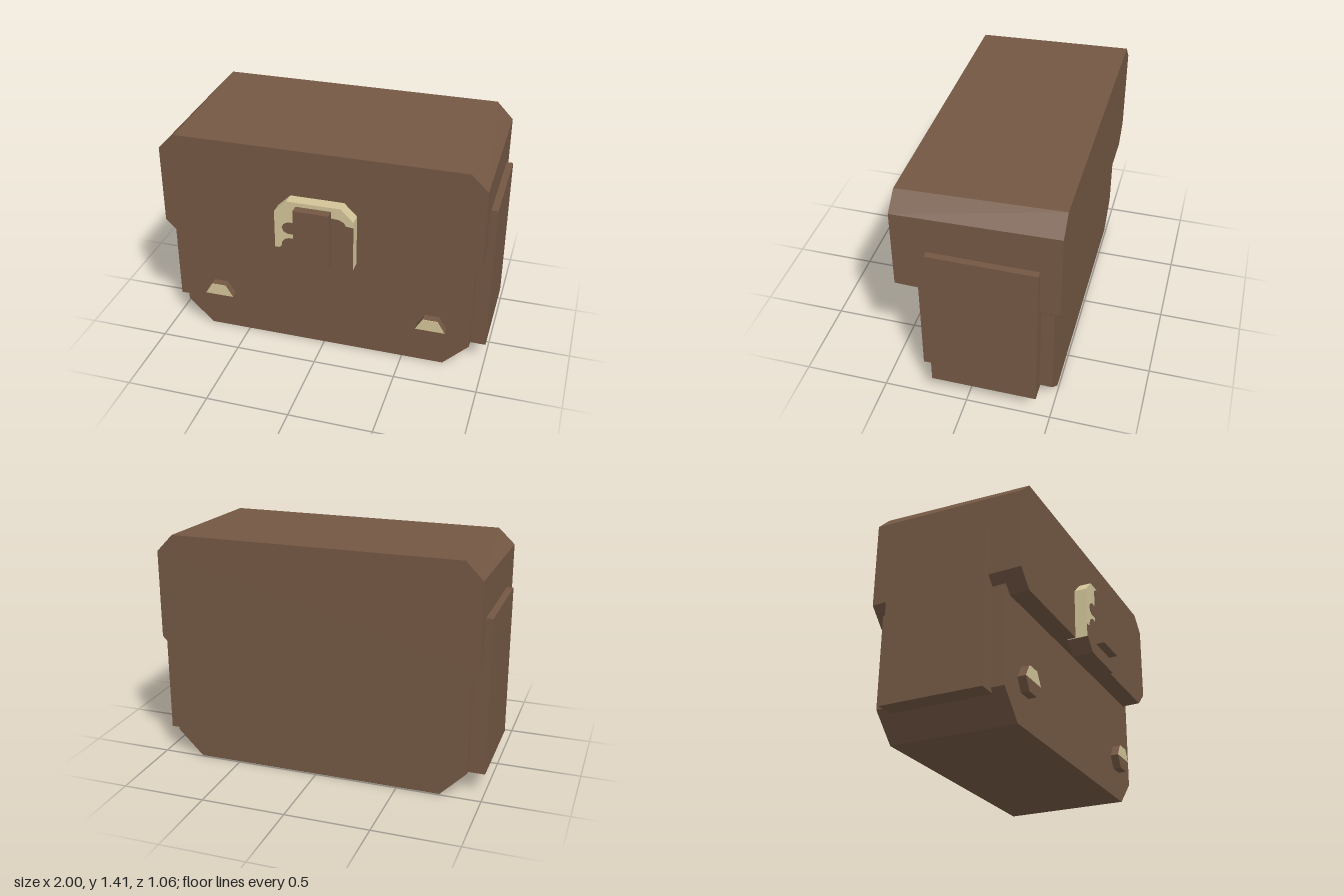
import * as THREE from 'three';

const material = (name, color) => {
  const m = new THREE.MeshStandardMaterial({ color });
  m.name = name;
  return m;
};

// Flat-sided solid with an outline in x and y, running from z0 to z1
function prism(points, z0, z1) {
  const shape = new THREE.Shape(points.map(([x, y]) => new THREE.Vector2(x, y)));
  const g = new THREE.ExtrudeGeometry(shape, { depth: z1 - z0, bevelEnabled: false });
  return g.translate(0, 0, z0);
}

// Rectangle with cut corners
function cutRect(w, y0, y1, cx, cyBottom, cyTop) {
  const half = [[w - cx, y0], [w, y0 + cyBottom], [w, y1 - cyTop], [w - cx, y1]];
  return [...half, ...half.map(([x, y]) => [-x, y]).reverse()];
}

export function createModel() {
  const leather = material('brown leather', 0x735743);
  const brass = material('pale brass', 0xd2c498);
  const bag = new THREE.Group();
  bag.name = 'satchel';

  const add = (name, geometry, mat, parent = bag) => {
    const mesh = new THREE.Mesh(geometry, mat);
    mesh.name = name;
    parent.add(mesh);
    return mesh;
  };

  // Main pouch, its top tucked inside the lid
  add('body', prism(cutRect(0.91, 0, 1.0, 0.155, 0.155, 0.1), -0.49, 0.285), leather);

  // Lid, growing taller towards the back
  const lid = prism(cutRect(0.96, 0.705, 1.375, 0.1, 0.095, 0.095), -0.53, 0.4);
  const p = lid.attributes.position;
  for (let i = 0; i < p.count; i++) {
    const back = (0.4 - p.getZ(i)) / 0.93;
    p.setY(i, 1.04 + (p.getY(i) - 1.04) * (1 + 0.09 * back));
  }
  lid.computeVertexNormals();
  add('lid', lid, leather);

  // Side pockets
  for (const side of [-1, 1]) {
    const g = new THREE.BoxGeometry(0.12, 0.935, 0.62);
    g.translate(side * 0.94, 0.5975, -0.105);
    add(side > 0 ? 'leftPocket' : 'rightPocket', g, leather);
  }

  // Buckle: brass upper part, leather lower part and worn leather face
  const buckle = new THREE.Group();
  buckle.name = 'buckle';
  bag.add(buckle);
  add('buckleFrame', prism([
    [-0.235, 0.7], [0.235, 0.7], [0.235, 1.015], [0.16, 1.09], [-0.16, 1.09], [-0.235, 1.015],
  ], 0.35, 0.475), brass, buckle);
  add('buckleBase', prism([
    [-0.16, 0.625], [0.16, 0.625], [0.235, 0.7], [-0.235, 0.7],
  ], 0.35, 0.475), leather, buckle);
  add('buckleFace', prism([
    [-0.16, 0.625], [0.16, 0.625], [0.235, 0.7], [0.235, 0.98], [0.19, 0.985],
    [0.18, 1.005], [0.15, 1.02], [0.08, 1.025], [0, 0.955], [-0.155, 0.955],
    [-0.18, 0.94], [-0.19, 0.917], [-0.18, 0.893], [-0.155, 0.88], [-0.08, 0.88],
    [-0.08, 0.85], [-0.15, 0.85], [-0.175, 0.84], [-0.19, 0.82], [-0.195, 0.79],
    [-0.21, 0.78], [-0.235, 0.78], [-0.235, 0.7],
  ], 0.475, 0.478), leather, buckle);
  add('clasp', new THREE.BoxGeometry(0.21, 0.36, 0.07).translate(0, 0.885, 0.495), leather, buckle);

  // Six-sided studs with a brass upper half on the face
  const hex = [[0.09, 0], [0.045, 0.075], [-0.045, 0.075], [-0.09, 0], [-0.045, -0.075], [0.045, -0.075]];
  for (const side of [-1, 1]) {
    const stud = new THREE.Group();
    stud.name = side > 0 ? 'leftStud' : 'rightStud';
    stud.position.set(side * 0.675, 0.26, 0);
    bag.add(stud);
    add('studBody', prism(hex, 0.27, 0.335), leather, stud);
    add('studShine', prism(hex.slice(0, 4), 0.335, 0.338), brass, stud);
  }
  return bag;
}
